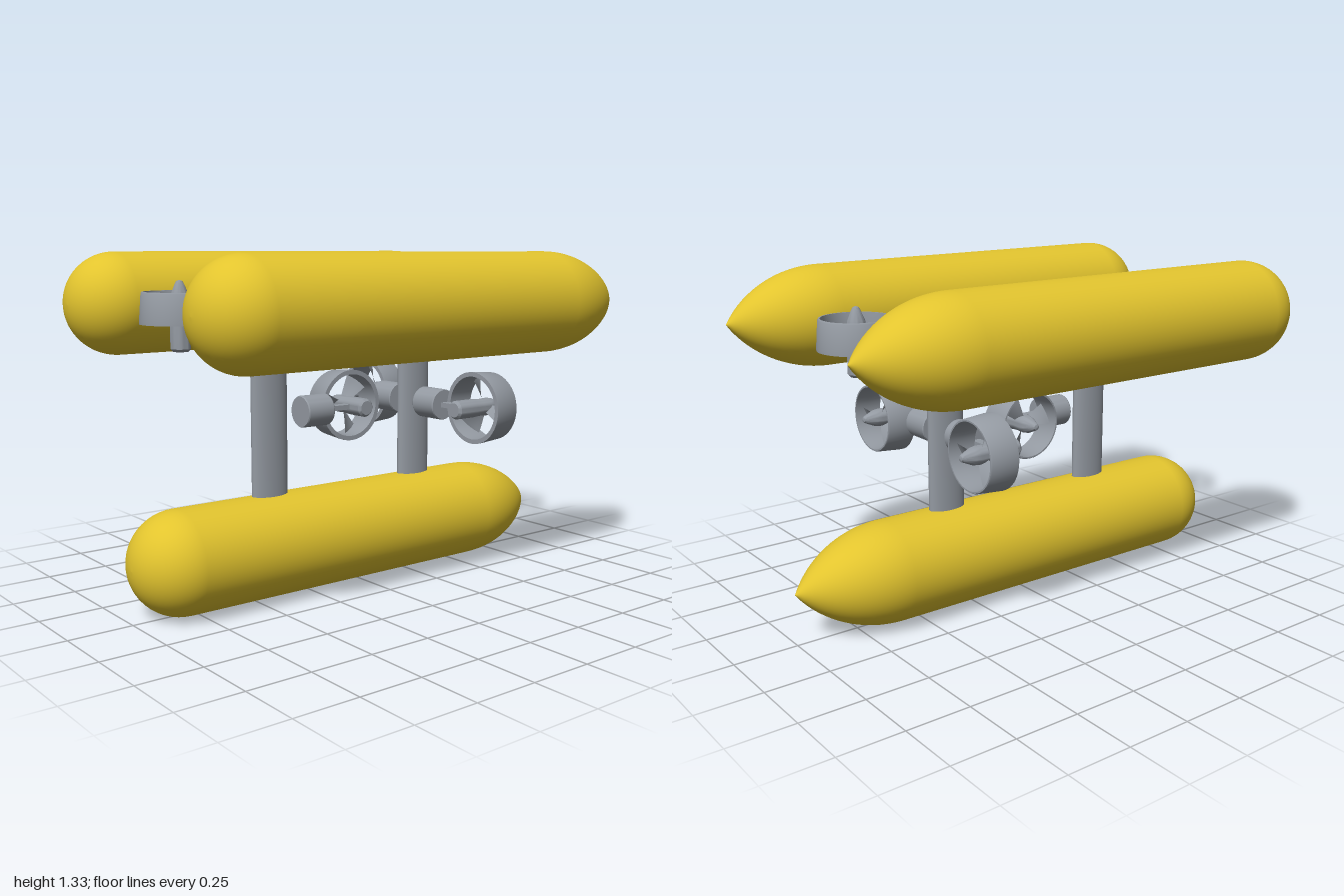
import * as THREE from 'three';
import { toCreasedNormals } from 'three/addons/utils/BufferGeometryUtils.js';

const yellow = new THREE.MeshStandardMaterial({ color: 0xe2c42e });
yellow.name = 'hullYellow';
const grey = new THREE.MeshStandardMaterial({ color: 0x949aa2 });
grey.name = 'metalGrey';
const bladeGrey = new THREE.MeshStandardMaterial({ color: 0x949aa2, side: THREE.DoubleSide });
bladeGrey.name = 'bladeGrey';

function mesh(name, geometry, material, x = 0, y = 0, z = 0) {
  const m = new THREE.Mesh(geometry, material);
  m.name = name;
  m.position.set(x, y, z);
  return m;
}

// Turned part about y; profile runs bottom to top as [radius, height]
function turned(profile, segments = 40) {
  const points = profile.map(([r, h]) => new THREE.Vector2(r, h));
  return toCreasedNormals(new THREE.LatheGeometry(points, segments), 0.5);
}

// Long float: round stern, straight body, pointed ogive nose, along x
function hullGeometry() {
  const points = [];
  for (let i = 0; i <= 14; i++) {
    const a = (i / 14) * Math.PI / 2;
    points.push(new THREE.Vector2(0.2 * Math.sin(a), -0.8 - 0.2 * Math.cos(a)));
  }
  for (let i = 0; i <= 18; i++) {
    const t = (i / 18) * 0.4;
    points.push(new THREE.Vector2(Math.max(0, Math.sqrt(0.25 - t * t) - 0.3), 0.6 + t));
  }
  return new THREE.LatheGeometry(points, 64).rotateZ(-Math.PI / 2);
}

// Propeller blade along +x, widening outwards and twisted around its length
function bladeGeometry() {
  const g = new THREE.PlaneGeometry(1, 1, 8, 4);
  const p = g.attributes.position;
  for (let i = 0; i < p.count; i++) {
    const t = p.getX(i) + 0.5;
    const r = 0.025 + 0.095 * t;
    const chord = (0.035 + 0.055 * t) * p.getY(i);
    const pitch = 0.85 - 0.4 * t;
    p.setXYZ(i, Math.sqrt(Math.max(0, r * r - chord * chord * 0.6)),
      chord * Math.sin(pitch), chord * Math.cos(pitch));
  }
  g.computeVertexNormals();
  return g;
}

const shroudGeo = turned([[0.127, 0.02], [0.145, 0.02], [0.145, 0.03], [0.137, 0.13],
  [0.134, 0.135], [0.128, 0.135], [0.124, 0.08], [0.127, 0.02]], 48);
const podGeo = turned([[0, -0.08], [0.028, -0.08], [0.037, -0.07], [0.037, 0.02], [0.034, 0.06],
  [0.036, 0.1], [0.032, 0.125], [0.016, 0.163], [0.011, 0.172], [0, 0.176]], 28);
const motorGeo = turned([[0, -0.0625], [0.06, -0.0625], [0.063, -0.058], [0.063, 0.058],
  [0.06, 0.0625], [0, 0.0625]], 36).rotateZ(Math.PI / 2);
const armGeo = new THREE.BoxGeometry(0.14, 0.036, 0.02);
const bladeGeo = bladeGeometry();

// Thruster blowing along local y, with its motor on the +x or -x side
function thruster(name, side) {
  const g = new THREE.Group();
  g.name = name;
  g.add(mesh('shroud', shroudGeo, grey));
  g.add(mesh('pod', podGeo, grey));
  g.add(mesh('motor', motorGeo, grey, side * 0.2075));
  g.add(mesh('arm', armGeo, grey, side * 0.08, 0.003));
  for (const degrees of [70, 190, 310]) {
    const blade = mesh('blade', bladeGeo, bladeGrey, 0, 0.085);
    blade.rotation.y = THREE.MathUtils.degToRad(degrees);
    g.add(blade);
  }
  return g;
}

export function createModel() {
  const model = new THREE.Group();
  model.name = 'submersible';

  // Three floats
  const hull = hullGeometry();
  model.add(mesh('lowerHull', hull, yellow, 0, 0.203, 0));
  model.add(mesh('upperHullFront', hull, yellow, 0, 1.135, 0.465));
  model.add(mesh('upperHullBack', hull, yellow, 0, 1.135, -0.465));

  // Two T-frames: oval post and flat crossbar
  const post = new THREE.CylinderGeometry(1, 1, 0.62, 40).scale(0.08, 1, 0.035);
  const bar = new THREE.BoxGeometry(0.145, 0.055, 0.86);
  for (const x of [-0.402, 0.33]) {
    model.add(mesh('post', post, grey, x, 0.67, 0));
    model.add(mesh('crossbar', bar, grey, x, 0.983, 0));
  }

  // Vertical thrusters at both ends
  for (const [x, side] of [[-0.778, 1], [0.705, -1]]) {
    const t = thruster('verticalThruster', side);
    t.position.set(x, 1.06, 0);
    model.add(t);
  }

  // Sideways thruster in the middle
  const lateral = thruster('lateralThruster', -1);
  lateral.rotation.x = -Math.PI / 2;
  lateral.position.set(0.015, 0.713, 0);
  model.add(lateral);

  // Forward thrusters either side of the nose-end post
  const forward = new THREE.Matrix4().makeBasis(
    new THREE.Vector3(0, 0, -1), new THREE.Vector3(1, 0, 0), new THREE.Vector3(0, -1, 0));
  for (const side of [1, -1]) {
    const t = thruster('forwardThruster', side);
    t.quaternion.setFromRotationMatrix(forward);
    t.position.set(0.325, 0.713, side * 0.343);
    model.add(t);
  }
  return model;
}
